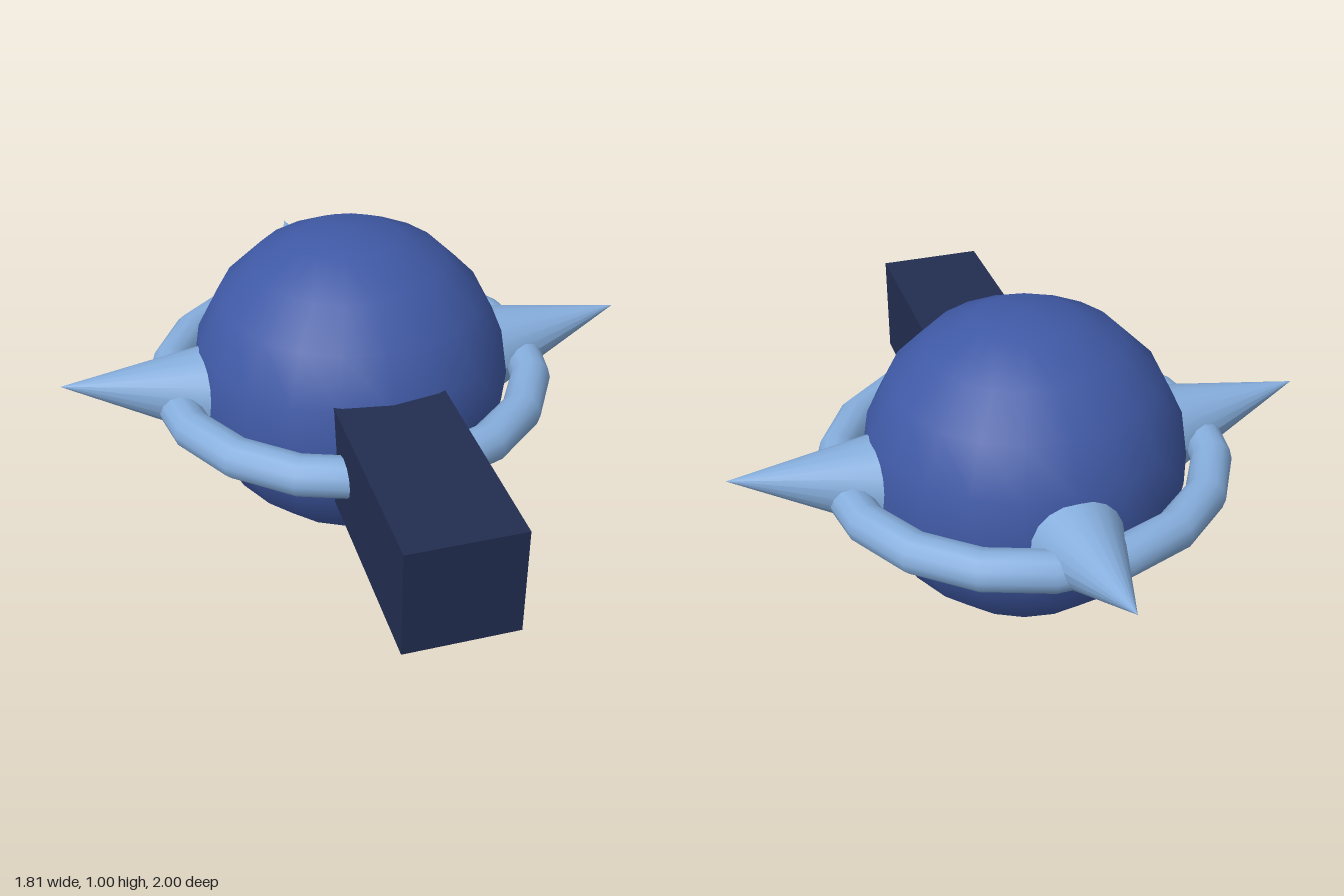
import * as THREE from 'three';

const material = (name, color) => {
  const m = new THREE.MeshStandardMaterial({ color });
  m.name = name;
  return m;
};

export function createModel() {
  const model = new THREE.Group();
  const blue = material('royalBlue', 0x3f59a5);
  const light = material('lightBlue', 0x86aedd);
  const navy = material('navy', 0x222d50);

  // everything but the barrel is centred on this point
  const hub = new THREE.Group();
  hub.name = 'hub';
  hub.position.set(0, 0.503, -0.097);
  model.add(hub);

  const add = (parent, name, geometry, mat) => {
    const mesh = new THREE.Mesh(geometry, mat);
    mesh.name = name;
    parent.add(mesh);
    return mesh;
  };

  // round body
  add(hub, 'body', new THREE.SphereGeometry(0.5, 20, 10), blue);

  // ring around the equator
  add(hub, 'ring', new THREE.TorusGeometry(0.575, 0.0625, 12, 18).rotateX(Math.PI / 2), light);

  // spikes: cones along +x, sheared so the tip is raised
  const base = 0.465, tip = 0.903;
  const spike = new THREE.ConeGeometry(0.144, tip - base, 20);
  spike.rotateZ(-Math.PI / 2).translate((base + tip) / 2, 0, 0);
  const p = spike.attributes.position;
  for (let i = 0; i < p.count; i++) {
    p.setY(i, p.getY(i) + 0.095 * (p.getX(i) - base) / (tip - base));
  }
  spike.computeVertexNormals();
  ['leftSpike', 'backSpike', 'rightSpike'].forEach((name, i) => {
    add(hub, name, spike, light).rotation.y = i * Math.PI / 2;
  });

  // square barrel at the front
  add(model, 'barrel', new THREE.BoxGeometry(0.335, 0.335, 0.75), navy).position.set(0, 0.503, 0.625);

  return model;
}
